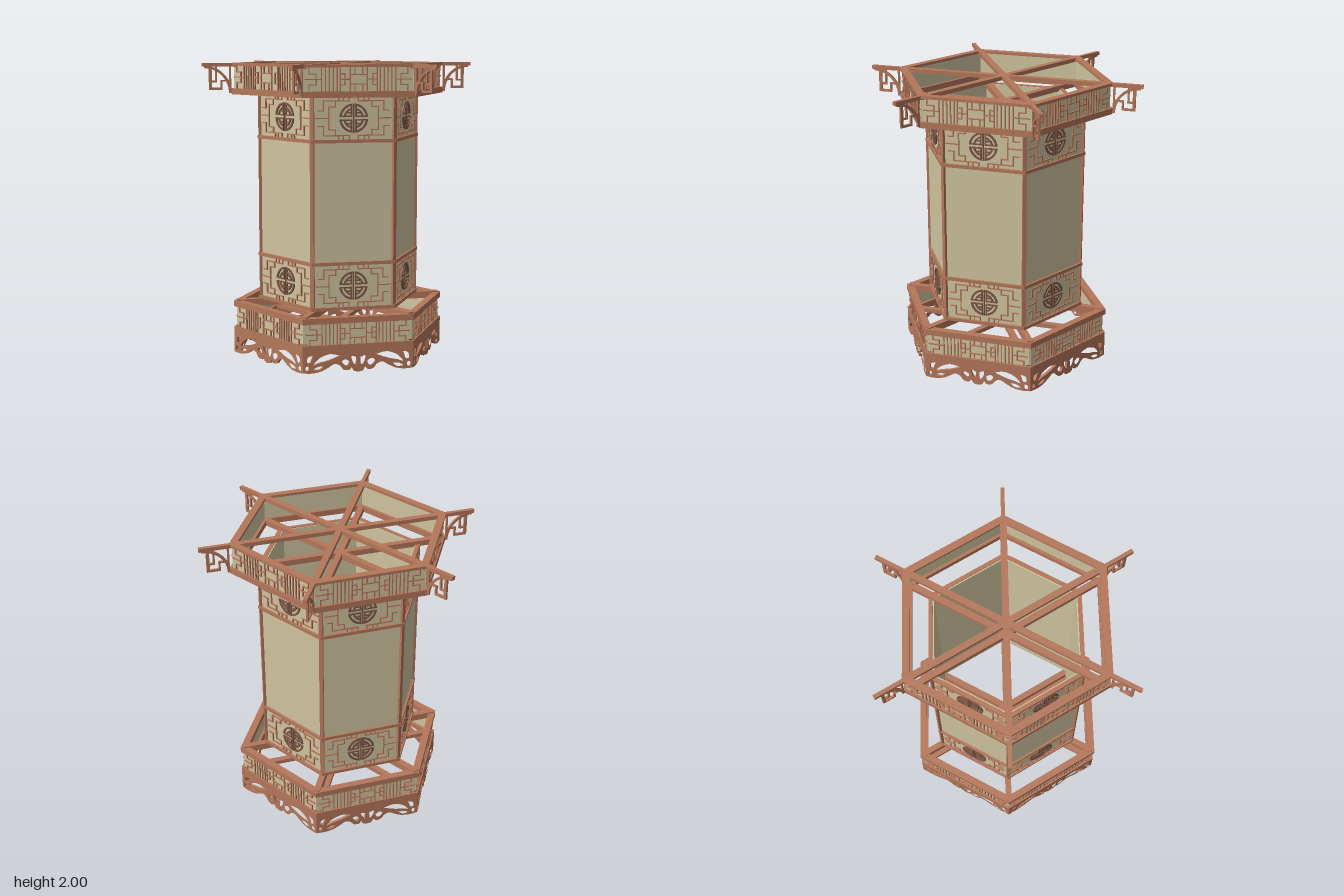
import * as THREE from 'three';
import { mergeGeometries } from 'three/addons/utils/BufferGeometryUtils.js';

const mat = (name, color) => Object.assign(new THREE.MeshStandardMaterial({ color }), { name });
const wood = mat('wood', 0xb4775b);
const paper = mat('paper', 0xd0c49f);
const darkWood = mat('dark wood', 0x7d5846);

const OUT = 0.74, BODY = 0.562, C = Math.cos(Math.PI / 6);

function mesh(name, geo, material, parent) {
  const m = new THREE.Mesh(geo, material);
  m.name = name;
  parent.add(m);
  return m;
}

// box spanning two corners
function span(x0, x1, y0, y1, z0, z1) {
  const g = new THREE.BoxGeometry(Math.abs(x1 - x0), Math.abs(y1 - y0), Math.abs(z1 - z0));
  return g.translate((x0 + x1) / 2, (y0 + y1) / 2, (z0 + z1) / 2);
}

// hexagonal frame with a corner on +z
function hexRing(rOut, rIn, y0, y1) {
  const hex = r => Array.from({ length: 6 }, (_, i) => {
    const a = Math.PI / 2 + i * Math.PI / 3;
    return new THREE.Vector2(r * Math.cos(a), r * Math.sin(a));
  });
  const s = new THREE.Shape(hex(rOut));
  s.holes.push(new THREE.Path(hex(rIn)));
  return new THREE.ExtrudeGeometry(s, { depth: y1 - y0, bevelEnabled: false })
    .rotateX(-Math.PI / 2).translate(0, y0, 0);
}

// thin lattice strips from axis-aligned segments, mirrored left/right (and optionally up/down)
function lattice(segs, cy, z, mirrorY, w = 0.008, d = 0.009) {
  const parts = [];
  for (const sx of [1, -1]) for (const sy of mirrorY ? [1, -1] : [1])
    for (const [xa, ya, xb, yb] of segs) {
      const [x0, x1] = [sx * xa, sx * xb].sort((a, b) => a - b);
      const [y0, y1] = [sy * ya, sy * yb].sort((a, b) => a - b);
      parts.push(span(x0 - w / 2, x1 + w / 2, cy + y0 - w / 2, cy + y1 + w / 2, z, z + d));
    }
  return mergeGeometries(parts);
}

// curved flat strip
function arcStrip(r0, r1, a0, a1, depth) {
  const s = new THREE.Shape();
  s.absarc(0, 0, r1, a0, a1, false);
  s.absarc(0, 0, r0, a1, a0, true);
  return new THREE.ExtrudeGeometry(s, { depth, bevelEnabled: false, curveSegments: 10 });
}

// round emblem: broken rings crossed by bars
function emblem(cy, z) {
  const parts = [];
  for (let q = 0; q < 4; q++) {
    const a = q * Math.PI / 2;
    parts.push(arcStrip(0.082, 0.095, a + 0.09, a + Math.PI / 2 - 0.09, 0.009));
    parts.push(arcStrip(0.056, 0.067, a + 0.16, a + Math.PI / 2 - 0.16, 0.009));
  }
  const flat = mergeGeometries(parts).translate(0, cy, z).toNonIndexed();
  const bars = lattice([
    [0, 0, 0, 0.09], [0.015, 0.012, 0.085, 0.012], [0.015, 0.012, 0.015, 0.085],
    [0.015, 0.036, 0.05, 0.036]
  ], cy, z, true, 0.009).toNonIndexed();
  return mergeGeometries([flat, bars]);
}

// square fret around the emblem, one quarter
const BODY_FRET = [
  [0.07, 0.112, 0.2, 0.112], [0.2, 0.05, 0.2, 0.112], [0.2, 0.05, 0.235, 0.05],
  [0.165, 0, 0.165, 0.075], [0.12, 0.075, 0.165, 0.075], [0.12, 0.075, 0.12, 0.112],
  [0.07, 0.112, 0.07, 0.14], [0.03, 0.112, 0.07, 0.112], [0.03, 0.112, 0.03, 0.14],
  [0.1, 0.112, 0.1, 0.14], [0.165, 0, 0.25, 0]
];
// band lattice, one quarter
const BAND_FRET = [
  [0, 0.03, 0.055, 0.03], [0.055, 0, 0.055, 0.075], [0.055, 0, 0.12, 0], [0.025, 0.03, 0.025, 0.075],
  [0.09, 0.035, 0.12, 0.035], [0.09, 0, 0.09, 0.035], [0.12, 0, 0.12, 0.075],
  [0.14, 0, 0.14, 0.075], [0.165, 0, 0.165, 0.075], [0.19, 0, 0.19, 0.075], [0.215, 0, 0.215, 0.075],
  [0.24, 0, 0.24, 0.075], [0.24, 0, 0.345, 0], [0.275, 0.035, 0.32, 0.035],
  [0.275, 0, 0.275, 0.035], [0.32, 0.035, 0.32, 0.075]
];

// scalloped skirt with scroll cut-outs
function skirt() {
  const s = new THREE.Shape();
  const half = [[0.37, 0.01], [0.31, 0.006], [0.25, 0.016], [0.2, 0.04], [0.16, 0.062],
    [0.125, 0.05], [0.1, 0.022], [0.065, 0.016], [0.045, 0.032], [0.03, 0.01], [0, 0.003]];
  const lower = [...half, ...half.slice(0, -1).reverse().map(([x, y]) => [-x, y])]
    .map(p => new THREE.Vector2(...p));
  s.moveTo(-0.37, 0.18);
  s.lineTo(0.37, 0.18);
  s.lineTo(0.37, 0.01);
  s.splineThru(lower.slice(1));
  s.closePath();
  const holes = [
    [[0.12, 0.115], [0.19, 0.13], [0.26, 0.105], [0.3, 0.06], [0.26, 0.072], [0.2, 0.085]],
    [[0.3, 0.125], [0.335, 0.115], [0.34, 0.08], [0.32, 0.075], [0.31, 0.1]],
    [[0.23, 0.05], [0.27, 0.048], [0.3, 0.03], [0.26, 0.026]],
    [[0.06, 0.075], [0.09, 0.09], [0.11, 0.072], [0.085, 0.045], [0.065, 0.052]],
    [[0.012, 0.1], [0.045, 0.11], [0.04, 0.075], [0.018, 0.05]],
    [[0.33, 0.055], [0.35, 0.05], [0.35, 0.025], [0.33, 0.028]]
  ];
  for (const h of holes) for (const m of [1, -1]) {
    const curve = new THREE.SplineCurve([...h, h[0]].map(([x, y]) => new THREE.Vector2(m * x, y)));
    s.holes.push(new THREE.Path(curve.getPoints(18).slice(0, -1)));
  }
  return new THREE.ExtrudeGeometry(s, { depth: 0.02, bevelEnabled: false, curveSegments: 50 })
    .translate(0, 0, OUT * C - 0.02);
}

// lattice bracket hanging under an arm, lying in the plane x = 0
function bracket() {
  const t = 0.007, bars = [
    [0.87, 0.89, 1.83, 1.98], [0.8, 0.89, 1.82, 1.835], [0.8, 0.812, 1.82, 1.885],
    [0.75, 0.812, 1.875, 1.887], [0.835, 0.847, 1.87, 1.98], [0.835, 0.88, 1.87, 1.882],
    [0.74, 0.752, 1.8, 1.98]
  ].map(([z0, z1, y0, y1]) => span(-t, t, y0, y1, z0, z1).toNonIndexed());
  const arc = arcStrip(0.165, 0.182, Math.PI / 2, Math.PI, 2 * t)
    .rotateY(-Math.PI / 2).translate(t, 1.8, 0.92);
  return mergeGeometries([...bars, arc]);
}

export function createModel() {
  const model = new THREE.Group();
  model.name = 'hexagonalLantern';
  const lantern = new THREE.Group();
  lantern.name = 'lantern';
  lantern.rotation.y = THREE.MathUtils.degToRad(3.1);
  model.add(lantern);

  // horizontal frames
  for (const [y0, y1] of [[1.982, 2], [1.79, 1.83], [0.33, 0.37], [0.17, 0.19]])
    mesh('outerFrame', hexRing(OUT, OUT - 0.055, y0, y1), wood, lantern);
  for (const [y0, y1] of [[1.785, 1.805], [1.49, 1.512], [0.682, 0.704], [0.38, 0.402]])
    mesh('bodyFrame', hexRing(BODY + 0.004, BODY - 0.028, y0, y1), wood, lantern);

  // crossing spokes
  for (const [y0, y1] of [[1.972, 1.999], [1.791, 1.829], [0.331, 0.379], [0.171, 0.2]])
    for (let i = 0; i < 3; i++)
      mesh('spoke', span(-0.021, 0.021, y0, y1, -OUT + 0.02, OUT - 0.02), wood, lantern)
        .rotation.y = i * Math.PI / 3;

  const skirtGeo = skirt(), bracketGeo = bracket();
  const bodyZ = BODY * C - 0.012, bandZ = OUT * C - 0.016;
  const w = BODY / 2 - 0.016, bw = OUT / 2 - 0.012;

  for (let i = 0; i < 6; i++) {
    // corner posts, arms and brackets
    const corner = new THREE.Group();
    corner.name = 'corner';
    corner.rotation.y = i * Math.PI / 3;
    lantern.add(corner);
    mesh('post', span(-0.013, 0.013, 0.38, 1.8, BODY - 0.034, BODY - 0.004), wood, corner);
    mesh('arm', span(-0.013, 0.013, 1.975, 2, OUT - 0.03, 0.935), wood, corner);
    mesh('bracket', bracketGeo, wood, corner);

    // one face of the lantern
    const side = new THREE.Group();
    side.name = 'side';
    side.rotation.y = (i + 0.5) * Math.PI / 3;
    lantern.add(side);
    mesh('bodyPaper', span(-w, w, 0.385, 1.8, bodyZ - 0.02, bodyZ), paper, side);
    for (const cy of [1.65, 0.543]) {
      mesh('bodyLattice', lattice(BODY_FRET, cy, bodyZ, true, 0.007), wood, side);
      mesh('roundEmblem', emblem(cy, bodyZ), darkWood, side);
    }
    for (const cy of [1.906, 0.26]) {
      mesh('bandPaper', span(-bw, bw, cy - 0.077, cy + 0.077, bandZ - 0.012, bandZ), paper, side);
      mesh('bandLattice', lattice(BAND_FRET, cy, bandZ, true, 0.007), wood, side);
    }
    mesh('skirt', skirtGeo, wood, side);
  }
  return model;
}
